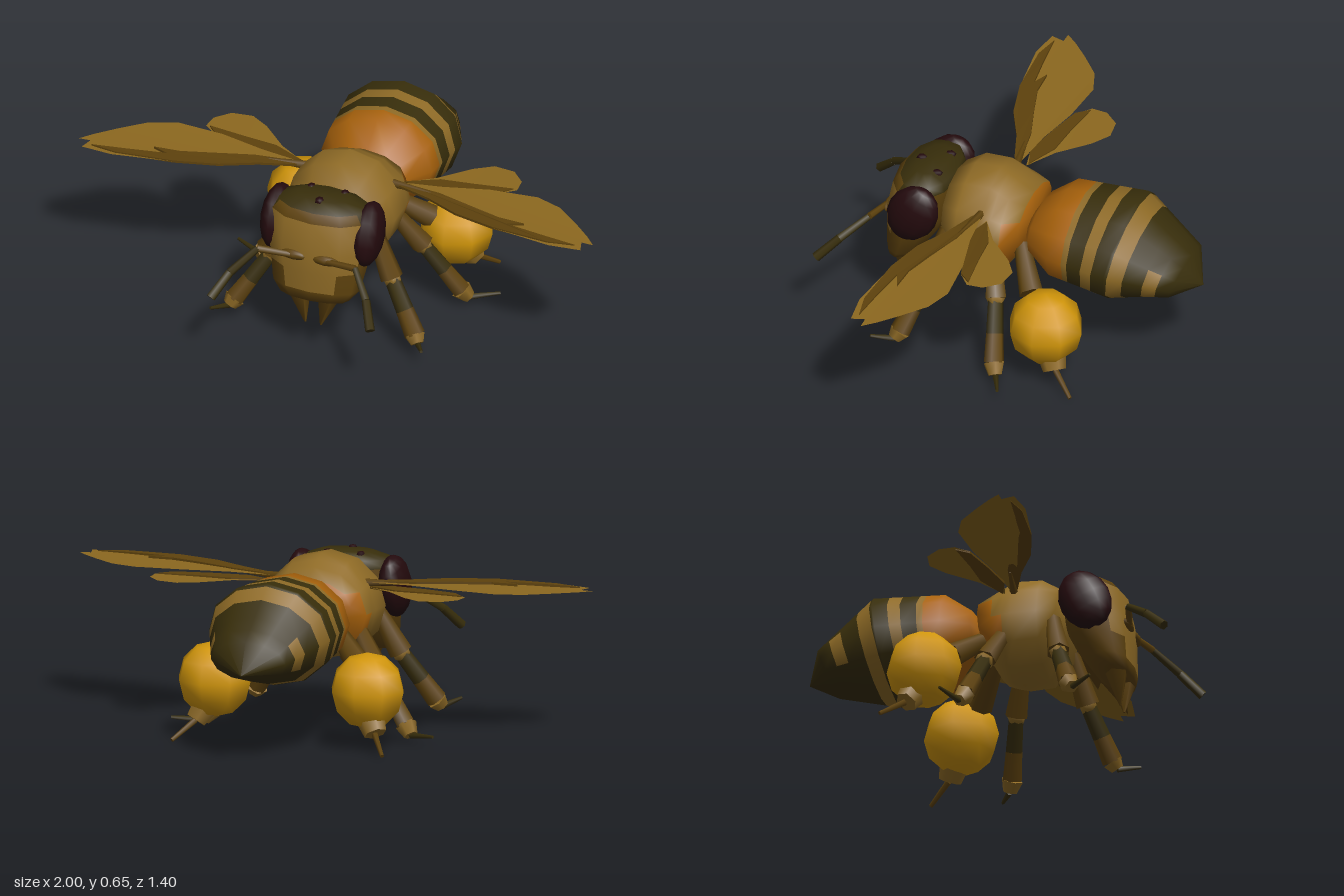
import * as THREE from 'three';

const material = (name, color, side = THREE.FrontSide) => {
  const m = new THREE.MeshStandardMaterial({ color, side });
  m.name = name;
  return m;
};

export function createModel() {
  const bee = new THREE.Group();
  bee.name = 'bee';
  const tan = material('tan', 0x8f6b26);
  const brown = material('brown', 0x5e420d);
  const dark = material('darkOlive', 0x382e0b);
  const orange = material('orange', 0xa8620c);
  const pollen = material('pollenYellow', 0xd0950a);
  const eyeRed = material('eyeDarkRed', 0x240a0d);
  const wingTan = material('wingTan', 0x8c681f, THREE.DoubleSide);

  function add(name, geometry, mat, parent = bee) {
    const mesh = new THREE.Mesh(geometry, mat);
    mesh.name = name;
    parent.add(mesh);
    return mesh;
  }

  // Smooth skin over rings of points; pick(ring, side) chooses each quad's material
  function loft(name, rings, mats, pick) {
    const n = rings[0].length;
    const lists = mats.map(() => []);
    for (let i = 0; i < rings.length - 1; i++) {
      for (let j = 0; j < n; j++) {
        const a = i * n + j, b = i * n + (j + 1) % n;
        lists[pick(i, j)].push(a, b, a + n, b, b + n, a + n);
      }
    }
    const g = new THREE.BufferGeometry();
    g.setAttribute('position', new THREE.Float32BufferAttribute(rings.flat(2), 3));
    g.setIndex(lists.flat());
    let start = 0;
    lists.forEach((list, k) => {
      g.addGroup(start, list.length, k);
      start += list.length;
    });
    g.computeVertexNormals();
    return add(name, g, mats);
  }

  const SIDES = 12;
  const around = (fn) => Array.from({ length: SIDES }, (_, j) => {
    const t = (j / SIDES) * Math.PI * 2;
    return fn(Math.cos(t), Math.sin(t));
  });
  // Body ring from [zTop, yTop, zBottom, yBottom, halfWidth]
  const bodyRing = ([zt, yt, zb, yb, w]) => around((c, s) => [
    c * w, (yt + yb) / 2 + s * (yt - yb) / 2, (zt + zb) / 2 + s * (zt - zb) / 2]);

  // Tapered rod between two points
  function rod(name, a, b, r0, r1, mat, parent, sides = 6) {
    const p = new THREE.Vector3(...a), q = new THREE.Vector3(...b);
    const d = q.clone().sub(p);
    const mesh = add(name, new THREE.CylinderGeometry(r1, r0, d.length(), sides), mat, parent);
    mesh.position.copy(p).add(q).multiplyScalar(0.5);
    mesh.quaternion.setFromUnitVectors(new THREE.Vector3(0, 1, 0), d.normalize());
  }

  function ball(name, pos, scale, mat, parent, w = 8, h = 6) {
    const mesh = add(name, new THREE.SphereGeometry(1, w, h), mat, parent);
    mesh.position.set(...pos);
    mesh.scale.set(...scale);
    return mesh;
  }

  // Abdomen: outline sections from tail to waist, cut at the stripe edges
  const outline = [
    [-0.70, 0.342, -0.70, 0.342, 0],
    [-0.655, 0.46, -0.60, 0.305, 0.145],
    [-0.44, 0.637, -0.37, 0.25, 0.24],
    [-0.17, 0.627, -0.17, 0.28, 0.215],
    [-0.08, 0.56, -0.06, 0.36, 0.145],
    [-0.04, 0.49, -0.04, 0.39, 0.08],
    [-0.03, 0.44, -0.03, 0.44, 0],
  ];
  // Stripe ends: 0 dark, 1 tan, 2 orange, 3 tan on the flanks only
  const stripes = [[-0.61, 0], [-0.565, 3], [-0.50, 0], [-0.45, 1], [-0.38, 0],
    [-0.33, 1], [-0.265, 0], [-0.24, 1], [0, 2]];
  const cuts = [...outline.map((o) => o[0]), ...stripes.slice(0, -1).map((s) => s[0])]
    .sort((a, b) => a - b);
  const sectionAt = (z) => {
    const k = Math.max(1, outline.findIndex((o) => o[0] >= z));
    const [p, q] = [outline[k - 1], outline[k]];
    const f = (z - p[0]) / (q[0] - p[0]);
    return p.map((v, i) => v + (q[i] - v) * f);
  };
  loft('abdomen', cuts.map((z) => bodyRing(sectionAt(z))), [dark, tan, orange], (i, j) => {
    const kind = stripes.find((s) => (cuts[i] + cuts[i + 1]) / 2 < s[0])[1];
    return kind === 3 ? ([0, 5, 6, 11].includes(j) ? 1 : 0) : kind;
  });

  // Thorax with orange patches at the rear flanks
  const thorax = [
    [-0.045, 0.48, -0.045, 0.48, 0],
    [-0.04, 0.58, -0.04, 0.40, 0.165],
    [0.02, 0.615, 0.02, 0.29, 0.205],
    [0.06, 0.637, 0.06, 0.273, 0.21],
    [0.09, 0.655, 0.10, 0.26, 0.212],
    [0.19, 0.65, 0.19, 0.265, 0.212],
    [0.26, 0.605, 0.25, 0.34, 0.175],
    [0.27, 0.48, 0.27, 0.48, 0],
  ];
  const flanks = [[...Array(SIDES).keys()], [5, 6, 7, 10, 11, 0], [6, 11]];
  loft('thorax', thorax.map(bodyRing), [tan, orange],
    (i, j) => (i < 3 && flanks[i].includes(j) ? 1 : 0));

  // Head: rings from chin to crown as [y, halfWidth, zBack, zFront]
  const head = [
    [0.245, 0, 0.455, 0.455],
    [0.25, 0.135, 0.40, 0.505],
    [0.29, 0.17, 0.355, 0.51],
    [0.37, 0.185, 0.30, 0.51],
    [0.45, 0.20, 0.26, 0.51],
    [0.565, 0.195, 0.255, 0.485],
    [0.595, 0.17, 0.265, 0.46],
    [0.62, 0.10, 0.30, 0.41],
    [0.622, 0, 0.355, 0.355],
  ];
  // Faces per ring, counted from the middle of the face outward, that are tan
  const tanFaces = [0, 0, 1, 2, 2, 0];
  loft('head', head.map(([y, w, zb, zf]) => around((c, s) => [
    Math.sign(s) * Math.abs(s) ** 0.85 * w, y, (zb + zf) / 2 + c * (zf - zb) / 2,
  ])), [tan, brown, dark], (i, j) => {
    const out = Math.min(j, SIDES - 1 - j);
    if (i > 5) return 2;
    if (out < tanFaces[i]) return 0;
    return i === 5 && out > 1 ? 2 : 1;
  });
  for (const [x, y, z] of [[-0.065, 0.612, 0.315], [0.065, 0.612, 0.315], [0, 0.617, 0.40]]) {
    ball('simpleEye', [x, y, z], [0.018, 0.012, 0.022], eyeRed, bee, 6, 4);
  }

  // Wing outlines and markings in x and z
  const foreWing = [[0.19, 0.09], [0.35, 0.07], [0.52, 0.03], [0.70, 0.015], [0.80, 0.05],
    [0.89, 0.125], [0.96, 0.19], [1.0, 0.235], [0.955, 0.235], [0.97, 0.285], [0.85, 0.30],
    [0.62, 0.27], [0.46, 0.23], [0.33, 0.165], [0.2, 0.12]];
  const foreMark = [[0.2, 0.095], [0.36, 0.12], [0.50, 0.165], [0.62, 0.20], [0.72, 0.205],
    [0.66, 0.23], [0.80, 0.25], [0.94, 0.265], [0.84, 0.285], [0.62, 0.27], [0.46, 0.23],
    [0.33, 0.165], [0.2, 0.12]];
  const hindWing = [[0.19, 0.07], [0.30, 0.0], [0.40, -0.10], [0.47, -0.145], [0.55, -0.135],
    [0.60, -0.08], [0.605, -0.02], [0.55, 0.025], [0.42, 0.06], [0.28, 0.09]];
  const hindMark = [[0.2, 0.065], [0.32, 0.01], [0.44, 0.0], [0.59, -0.02], [0.55, 0.025],
    [0.42, 0.06], [0.28, 0.09]];

  for (const s of [1, -1]) {
    const side = new THREE.Group();
    side.name = s > 0 ? 'leftSide' : 'rightSide';
    bee.add(side);
    const P = (x, y, z) => [x * s, y, z];
    const flat = (points) => new THREE.Shape(points.map(([x, z]) => new THREE.Vector2(x * s, z)));

    // Wings with a slight arch, and thin brown markings
    const plate = (name, points, y, mat, thick) => {
      const g = thick
        ? new THREE.ExtrudeGeometry(flat(points), { depth: thick, bevelEnabled: false })
        : new THREE.ShapeGeometry(flat(points));
      g.rotateX(Math.PI / 2).translate(0, y + thick / 2, 0);
      const pos = g.attributes.position;
      for (let i = 0; i < pos.count; i++) {
        const x = Math.abs(pos.getX(i));
        pos.setY(i, pos.getY(i) + 0.008 * Math.sin((x - 0.2) / 0.8 * Math.PI));
      }
      g.computeVertexNormals();
      add(name, g, mat, side);
    };
    plate('foreWing', foreWing, 0.558, wingTan, 0);
    plate('foreWingMarking', foreMark, 0.558, brown, 0.009);
    plate('hindWing', hindWing, 0.545, wingTan, 0);
    plate('hindWingMarking', hindMark, 0.545, brown, 0.009);
    rod('wingRoot', P(0.17, 0.555, 0.10), P(0.34, 0.56, 0.125), 0.016, 0.006, brown, side);

    // Compound eye, lying close to the side of the head
    ball('eye', P(0.178, 0.495, 0.365), [0.055, 0.122, 0.095], eyeRed, side, 12, 8).rotation.x = -0.45;

    // Antenna
    const feeler = [P(0.04, 0.43, 0.50), P(0.19, 0.445, 0.53), P(0.265, 0.375, 0.615), P(0.31, 0.30, 0.69)];
    const thick = [0.011, 0.013, 0.016, 0.018];
    for (let i = 0; i < 3; i++) {
      rod('antenna', feeler[i], feeler[i + 1], thick[i], thick[i + 1], i ? dark : brown, side);
    }
    ball('antennaSocket', P(0.06, 0.432, 0.498), [0.055, 0.02, 0.02], brown, side);

    // Mandible
    rod('mandible', P(0.06, 0.27, 0.455), P(0.03, 0.13, 0.463), 0.048, 0.004, brown, side, 5);

    // Front and middle legs: thigh, two-tone shin, ankle and claw
    const legs = {
      front: [P(0.15, 0.44, 0.24), P(0.235, 0.27, 0.28), P(0.30, 0.168, 0.317), P(0.35, 0.09, 0.345), P(0.365, 0.065, 0.36), P(0.41, 0.085, 0.437)],
      middle: [P(0.15, 0.41, 0.06), P(0.25, 0.26, 0.01), P(0.322, 0.155, -0.015), P(0.38, 0.07, -0.035), P(0.405, 0.035, -0.05), P(0.51, 0.045, -0.10)],
    };
    for (const [name, [hip, knee, mid, ankle, heel, toe]] of Object.entries(legs)) {
      rod(name + 'Thigh', hip, knee, 0.028, 0.043, brown, side);
      ball(name + 'Knee', knee, [0.036, 0.036, 0.036], tan, side, 6, 4);
      rod(name + 'UpperShin', knee, mid, 0.029, 0.033, dark, side);
      rod(name + 'LowerShin', mid, ankle, 0.033, 0.038, brown, side);
      rod(name + 'Ankle', ankle, heel, 0.04, 0.026, tan, side);
      rod(name + 'Claw', heel, toe, 0.012, 0.006, dark, side, 5);
    }

    // Hind leg carrying a pollen ball
    rod('hindThigh', P(0.10, 0.41, -0.03), P(0.23, 0.30, -0.12), 0.03, 0.045, brown, side);
    ball('pollenBall', P(0.298, 0.222, -0.205), [0.14, 0.14, 0.14], pollen, side);
    rod('hindAnkle', P(0.32, 0.13, -0.235), P(0.35, 0.075, -0.26), 0.055, 0.042, tan, side);
    rod('hindClaw', P(0.35, 0.075, -0.265), P(0.41, 0.012, -0.345), 0.012, 0.008, brown, side, 5);
  }
  return bee;
}
